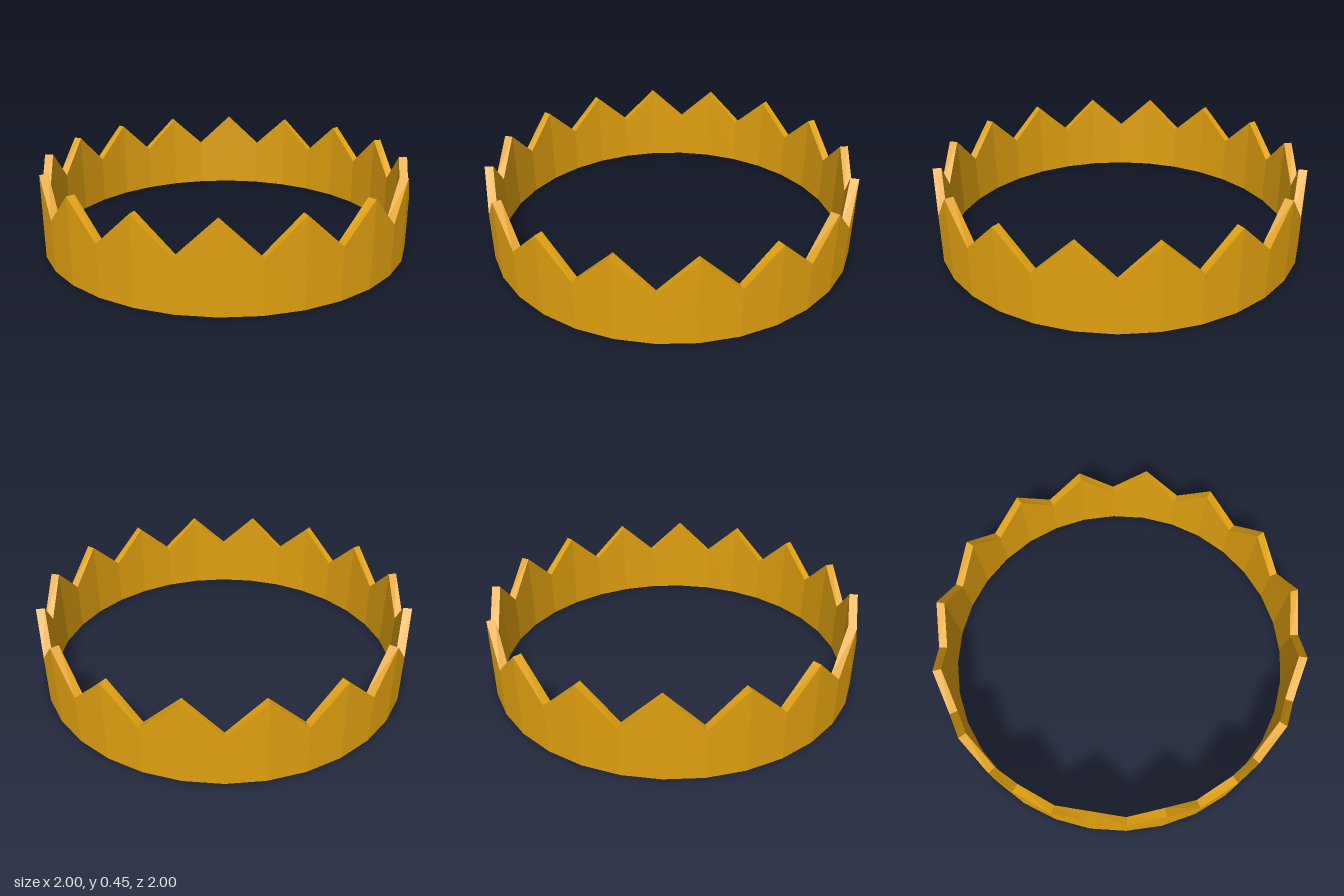
import * as THREE from 'three';

const SPIKES = 16;
const OUTER = 1, INNER = 0.955;
const PEAK = 0.45, VALLEY = 0.27;

// Faceted ring whose top edge alternates between peaks and valleys
function crownBand() {
  const profile = [
    [OUTER, 0], [OUTER, PEAK], [INNER, PEAK], [INNER, 0], [OUTER, 0],
  ].map(([r, y]) => new THREE.Vector2(r, y));
  const ring = new THREE.LatheGeometry(profile, SPIKES * 2);

  // Lower the top corners of every second column to cut the zigzag
  const pos = ring.attributes.position;
  for (let i = 0; i < pos.count; i++) {
    const column = Math.floor(i / profile.length);
    if (column % 2 === 1 && pos.getY(i) > 0) pos.setY(i, VALLEY);
  }

  const flat = ring.toNonIndexed();
  flat.computeVertexNormals();
  return flat;
}

export function createModel() {
  const gold = new THREE.MeshStandardMaterial({ color: 0xe0a010, flatShading: true });
  const band = new THREE.Mesh(crownBand(), gold);
  band.name = 'crownBand';

  const crown = new THREE.Group();
  crown.name = 'crown';
  crown.add(band);
  return crown;
}
